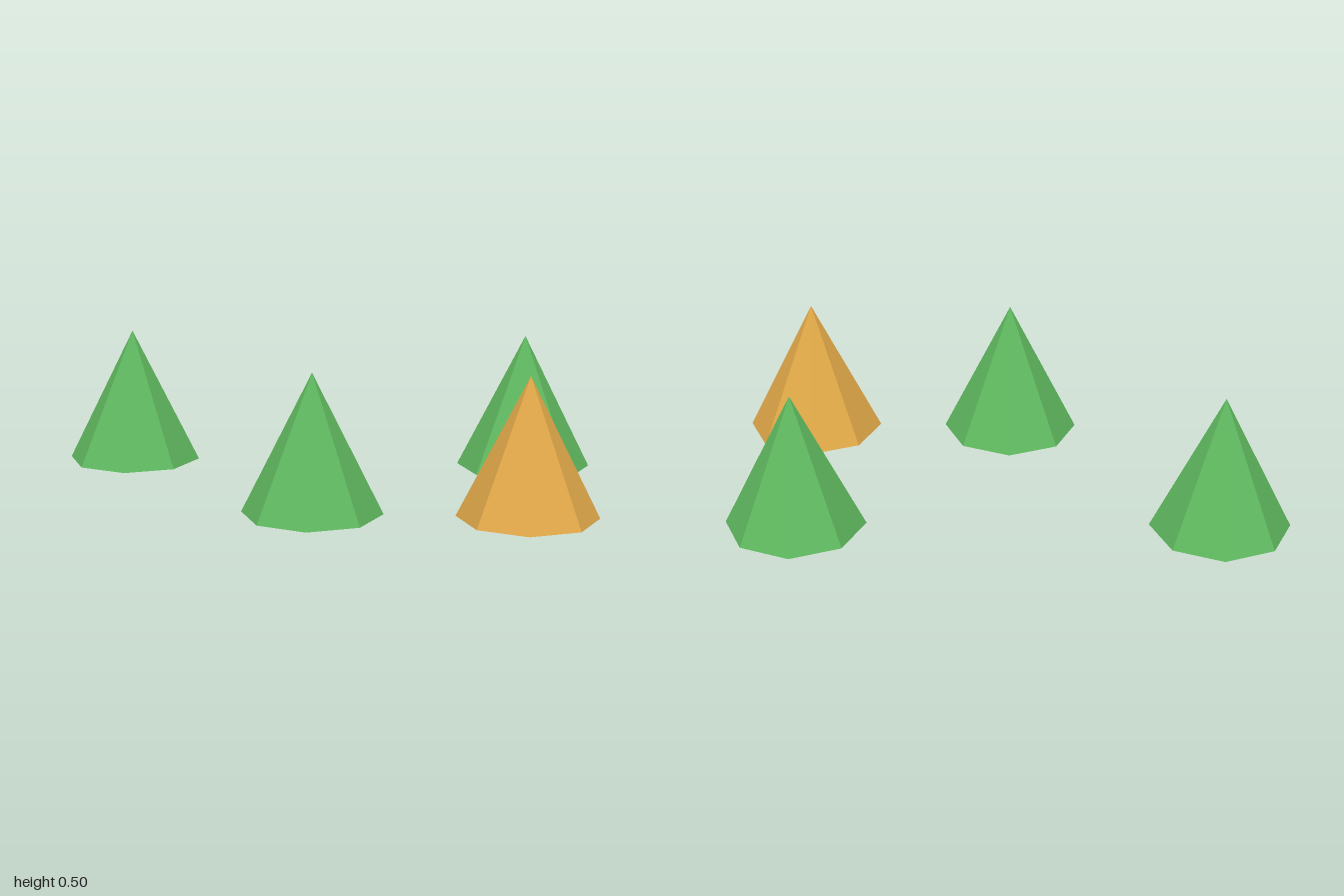
import * as THREE from 'three';

export function createModel() {
  const model = new THREE.Group();
  model.name = 'cones';

  const green = new THREE.MeshStandardMaterial({ color: 0x5fb85f, flatShading: true });
  green.name = 'green';
  const amber = new THREE.MeshStandardMaterial({ color: 0xe0a848, flatShading: true });
  amber.name = 'amber';

  // Eight-sided cone with its base on the ground
  const radius = 0.25, height = 0.5;
  const cone = new THREE.ConeGeometry(radius, height, 8);
  cone.translate(0, height / 2, 0);

  const placements = [
    ['backRightCone', -0.75, -0.375, green],
    ['backLeftCone', 0.75, -0.375, green],
    ['frontMiddleCone', 0, 0.375, green],
    ['frontLeftCone', 0.75, 0.375, amber],
  ];
  for (const [name, x, z, material] of placements) {
    const mesh = new THREE.Mesh(cone, material);
    mesh.name = name;
    mesh.position.set(x, 0, z);
    model.add(mesh);
  }
  return model;
}
